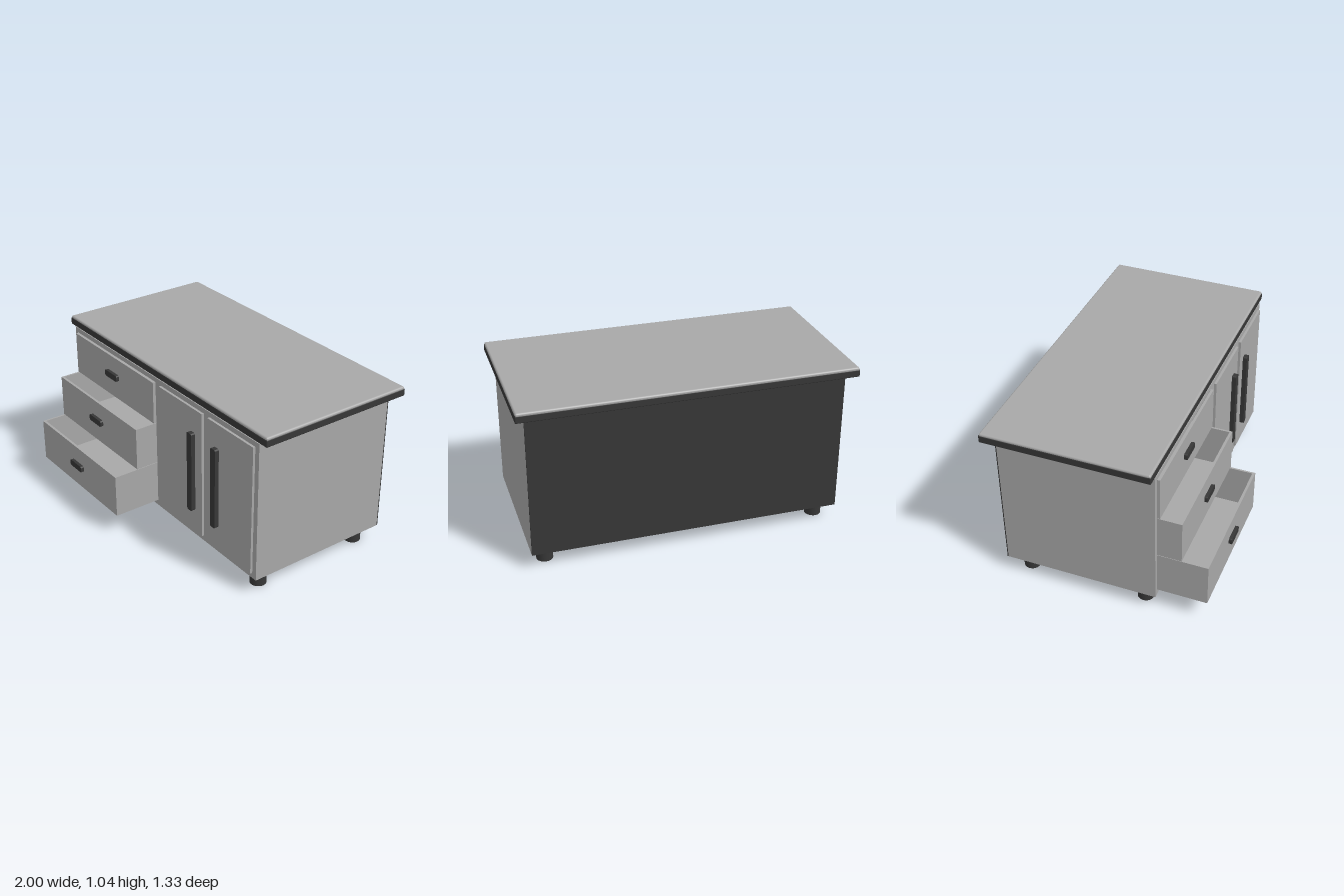
import * as THREE from 'three';
import { RoundedBoxGeometry } from 'three/addons/geometries/RoundedBoxGeometry.js';

const grey = new THREE.MeshStandardMaterial({ color: 0xa8a8a8 });
grey.name = 'grey laminate';
const dark = new THREE.MeshStandardMaterial({ color: 0x373737 });
dark.name = 'dark trim';

// Box given by its min and max on each axis; a radius rounds its edges
function box(parent, name, material, [x0, x1], [y0, y1], [z0, z1], radius = 0) {
  const size = [x1 - x0, y1 - y0, z1 - z0];
  const geometry = radius
    ? new RoundedBoxGeometry(...size, 3, radius)
    : new THREE.BoxGeometry(...size);
  const mesh = new THREE.Mesh(geometry, material);
  mesh.name = name;
  mesh.position.set((x0 + x1) / 2, (y0 + y1) / 2, (z0 + z1) / 2);
  parent.add(mesh);
  return mesh;
}

function group(parent, name) {
  const g = new THREE.Group();
  g.name = name;
  parent.add(g);
  return g;
}

// Handle: rounded outline in the front plane, extruded forward
function handle(parent, name, cx, cy, w, h, z, depth) {
  const r = 0.012, x = w / 2, y = h / 2;
  const s = new THREE.Shape();
  s.moveTo(-x + r, -y);
  s.lineTo(x - r, -y);
  s.quadraticCurveTo(x, -y, x, -y + r);
  s.lineTo(x, y - r);
  s.quadraticCurveTo(x, y, x - r, y);
  s.lineTo(-x + r, y);
  s.quadraticCurveTo(-x, y, -x, y - r);
  s.lineTo(-x, -y + r);
  s.quadraticCurveTo(-x, -y, -x + r, -y);
  const geometry = new THREE.ExtrudeGeometry(s, { depth, bevelEnabled: false, curveSegments: 4 });
  const mesh = new THREE.Mesh(geometry, dark);
  mesh.name = name;
  mesh.position.set(cx, cy, z);
  parent.add(mesh);
}

// Open-topped drawer with a floor, four thin walls and a handle
function drawer(parent, name, y0, y1, front) {
  const g = group(parent, name);
  const x0 = -0.912, x1 = -0.033, t = 0.012, back = front - 0.86;
  box(g, 'drawerFront', grey, [x0, x1], [y0, y1], [front - 0.016, front]);
  box(g, 'drawerFloor', grey, [x0 + t, x1 - t], [y0, y0 + t], [back + t, front - 0.016]);
  box(g, 'drawerBack', grey, [x0, x1], [y0, y1], [back, back + t]);
  for (const x of [x0, x1 - t])
    box(g, 'drawerSide', grey, [x, x + t], [y0, y1], [back + t, front - 0.016]);
  handle(g, 'drawerHandle', -0.475, (y0 + y1) / 2 + 0.012, 0.13, 0.04, front, 0.02);
}

export function createModel() {
  const model = new THREE.Group();
  model.name = 'cabinet';

  // Hollow carcass with a bay for the drawers
  const carcass = group(model, 'carcass');
  const Z = [-0.594, 0.343];
  box(carcass, 'rightSide', grey, [-0.943, -0.915], [0.1, 0.987], Z);
  box(carcass, 'leftSide', grey, [0.912, 0.943], [0.1, 0.987], Z);
  box(carcass, 'bottomPanel', grey, [-0.915, 0.912], [0.1, 0.133], Z);
  box(carcass, 'topRail', grey, [-0.915, 0.912], [0.957, 0.987], Z);
  box(carcass, 'divider', grey, [-0.03, 0.024], [0.133, 0.957], Z);
  box(carcass, 'cupboardFace', grey, [0.024, 0.912], [0.133, 0.957], [0.32, 0.343]);
  box(carcass, 'backPanel', dark, [-0.943, 0.943], [0.1, 0.987], [-0.6, -0.594]);

  // Worktop: dark edged board under a light surface
  const worktop = group(model, 'worktop');
  box(worktop, 'worktopEdge', dark, [-1, 1], [0.987, 1.032], [-0.667, 0.341], 0.006);
  box(worktop, 'worktopSurface', grey, [-0.998, 0.998], [1.022, 1.045], [-0.665, 0.339], 0.011);

  // Drawers, pulled out further towards the bottom
  drawer(model, 'topDrawer', 0.683, 0.955, 0.36);
  drawer(model, 'middleDrawer', 0.408, 0.68, 0.488);
  drawer(model, 'bottomDrawer', 0.134, 0.405, 0.645);

  // Doors with tall handles
  for (const [x0, x1, hx] of [[0.026, 0.45, 0.363], [0.503, 0.91, 0.588]]) {
    const door = group(model, 'door');
    box(door, 'doorPanel', grey, [x0, x1], [0.135, 0.955], [0.343, 0.358]);
    handle(door, 'doorHandle', hx, 0.545, 0.045, 0.52, 0.358, 0.027);
  }

  // Feet
  for (const x of [-0.85, 0.85])
    for (const z of [0.25, -0.485]) {
      const foot = new THREE.Mesh(new THREE.CylinderGeometry(0.05, 0.05, 0.1, 24), dark);
      foot.name = 'foot';
      foot.position.set(x, 0.05, z);
      model.add(foot);
    }

  return model;
}
